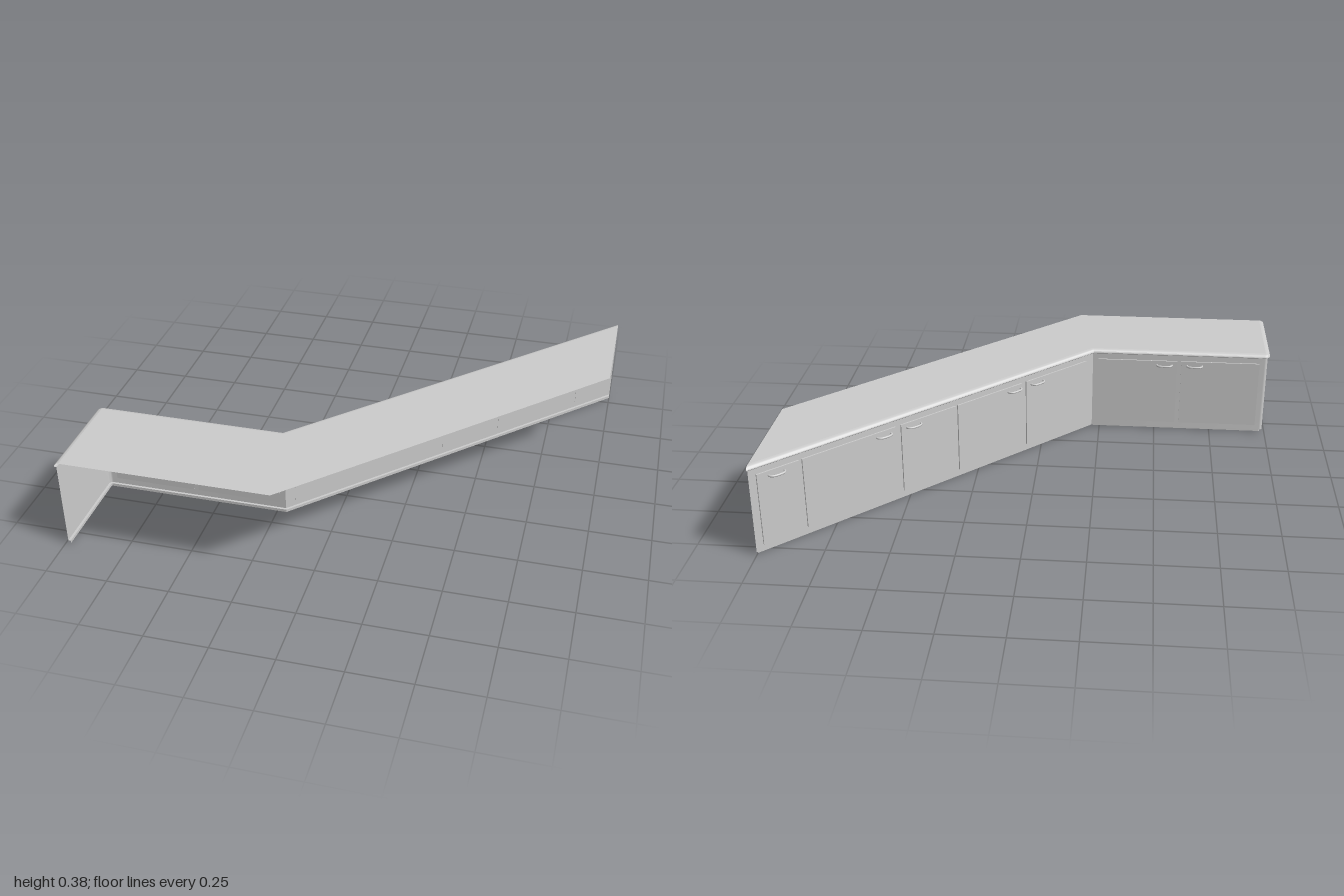
import * as THREE from 'three';
import { toCreasedNormals } from 'three/addons/utils/BufferGeometryUtils.js';

const TOP = 0.383;
const R = 0.025; // radius of the rounded outer corner
const material = new THREE.MeshStandardMaterial({ color: 0xcccccc, side: THREE.DoubleSide });

// Cabinet-side outline: position (x, z) and the inward mitre direction (mx, mz)
function outline() {
  const path = [{ x: -1, z: 0.82, mx: 1, mz: 0 }];
  for (let i = 0; i <= 6; i++) {
    const a = (i / 6) * Math.PI / 2, c = Math.cos(a), s = Math.sin(a);
    path.push({ x: -1 + R - R * c, z: 0.4 + R - R * s, mx: c, mz: s });
  }
  path.push({ x: -0.22, z: 0.4, mx: Math.SQRT2 - 1, mz: 1 });
  path.push({ x: 1, z: -0.82, mx: 0, mz: Math.SQRT2 });
  return path;
}

// Sweep a profile of [inset, height] pairs along the outline
function sweep(name, profile) {
  const pos = [], idx = [], path = outline(), n = profile.length;
  for (const p of path)
    for (const [d, y] of profile) pos.push(p.x + p.mx * d, y, p.z + p.mz * d);
  for (let i = 0; i < path.length - 1; i++)
    for (let j = 0; j < n - 1; j++) {
      const a = i * n + j, b = a + n;
      idx.push(a, a + 1, b, b, a + 1, b + 1);
    }
  const geo = new THREE.BufferGeometry();
  geo.setAttribute('position', new THREE.Float32BufferAttribute(pos, 3));
  geo.setIndex(idx);
  return named(name, toCreasedNormals(geo, 0.6));
}

function named(name, geo) {
  const mesh = new THREE.Mesh(geo, material);
  mesh.name = name;
  return mesh;
}

// Flat worktop, starting where the rounded edge ends
function worktop(inset) {
  const pts = outline().map(p => new THREE.Vector2(p.x + p.mx * inset, -(p.z + p.mz * inset)));
  pts.push(new THREE.Vector2(1, 0.32), new THREE.Vector2(-0.14, -0.82));
  const geo = new THREE.ShapeGeometry(new THREE.Shape(pts));
  geo.rotateX(-Math.PI / 2);
  geo.translate(0, TOP, 0);
  return named('worktop', geo);
}

// Bent bar handle
function handle() {
  const pts = [[-0.034, -0.01], [-0.032, 0.004], [-0.022, 0.013], [0.022, 0.013], [0.032, 0.004], [0.034, -0.01]];
  const curve = new THREE.CatmullRomCurve3(pts.map(([x, z]) => new THREE.Vector3(x, 0, z)), false, 'centripetal');
  return named('handle', new THREE.TubeGeometry(curve, 20, 0.0045, 8));
}

// Row of doors on one leg; each door is [start, end, handle], measured from the bend
function doorRow(name, angle, sign, doors) {
  const row = new THREE.Group();
  row.name = name;
  row.position.set(-0.22, 0, 0.4);
  row.rotation.y = angle;
  for (const [a, b, h] of doors) {
    const door = named('door', new THREE.BoxGeometry(b - a, 0.3, 0.007));
    door.position.set(sign * (a + b) / 2, 0.187, -0.0075);
    const bar = handle();
    bar.position.set(sign * h, 0.318, 0);
    row.add(door, bar);
  }
  return row;
}

export function createModel() {
  const model = new THREE.Group();
  model.name = 'angledCounter';

  // Walls, recessed plinth and rounded worktop edge
  model.add(sweep('plinth', [[0.02, 0], [0.02, 0.012], [0.01, 0.012]]));
  model.add(sweep('cabinetWall', [[0.01, 0.012], [0.01, 0.365]]));
  const edge = [[0.01, 0.365], [0.003, 0.365], [0, 0.368]];
  for (let i = 1; i <= 6; i++) {
    const a = (i / 6) * Math.PI / 2;
    edge.push([0.02 * (1 - Math.cos(a)), 0.368 + (TOP - 0.368) * Math.sin(a)]);
  }
  model.add(sweep('worktopEdge', edge));
  model.add(worktop(0.02));

  // Doors and handles
  model.add(doorRow('shortLegDoors', Math.PI, 1, [[0.02, 0.372, 0.315], [0.39, 0.735, 0.449]]));
  const L = 1.22 * Math.SQRT2;
  const longDoors = [
    [0.024, 0.225, 0.19], [0.239, 0.438, 0.264], [0.444, 0.602, 0.567],
    [0.617, 0.864, 0.65], [0.872, 0.976, 0.928],
  ].map(d => d.map(t => t * L));
  model.add(doorRow('longLegDoors', -Math.PI * 0.75, -1, longDoors));
  return model;
}
